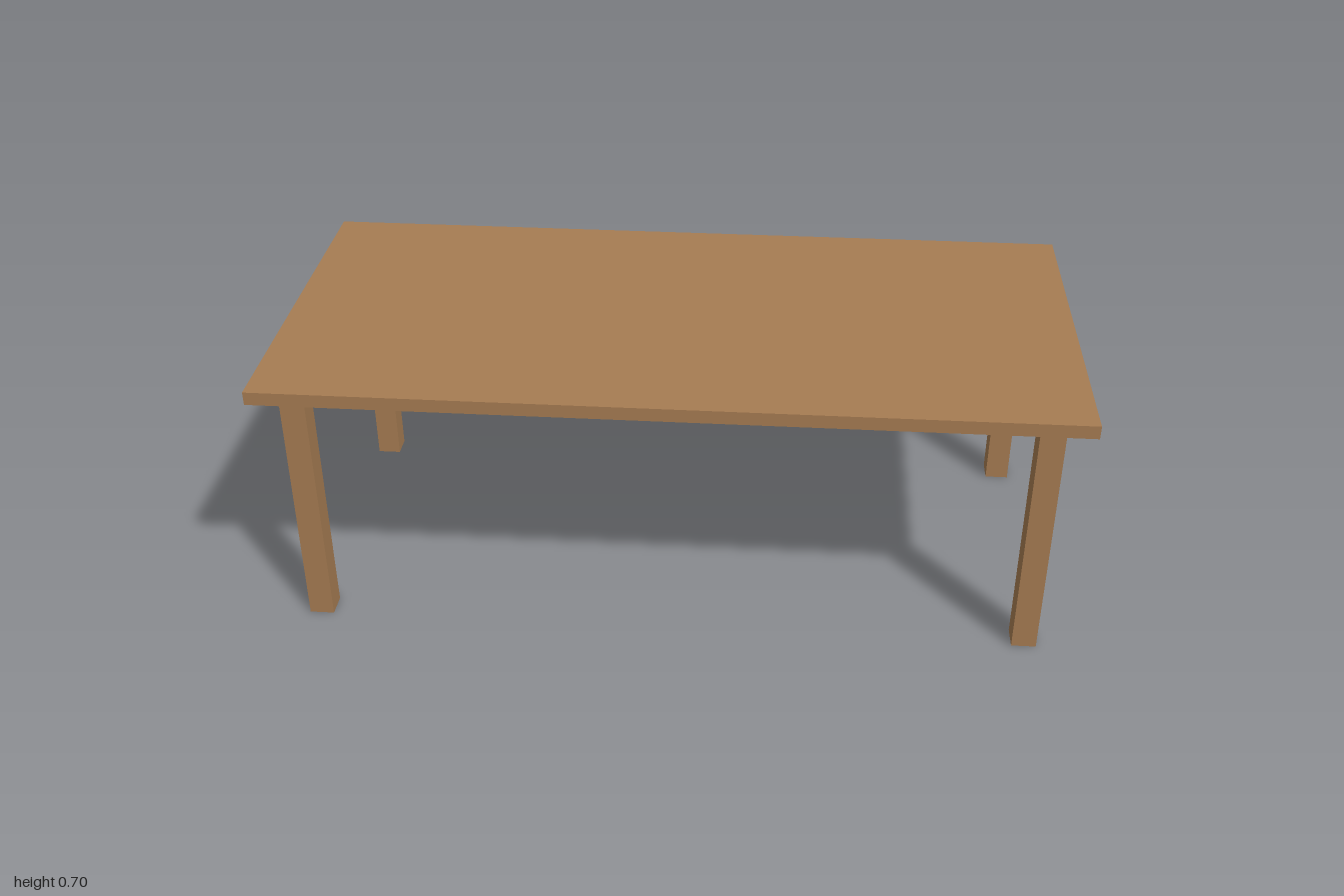
import * as THREE from 'three';

const LENGTH = 2, DEPTH = 0.956, HEIGHT = 0.7, THICKNESS = 0.034;
const LEG = 0.062, LEG_X = 0.907, LEG_Z = 0.387;

export function createModel() {
  const table = new THREE.Group();
  table.name = 'table';
  const wood = new THREE.MeshStandardMaterial({ color: 0xa67c52 });

  const addBox = (name, size, position) => {
    const mesh = new THREE.Mesh(new THREE.BoxGeometry(...size), wood);
    mesh.name = name;
    mesh.position.set(...position);
    table.add(mesh);
  };

  // Flat slab top
  addBox('tableTop', [LENGTH, THICKNESS, DEPTH], [0, HEIGHT - THICKNESS / 2, 0]);

  // Four square legs, set in from the corners
  const legHeight = HEIGHT - THICKNESS;
  for (const [end, sz] of [['front', 1], ['back', -1]]) {
    for (const [side, sx] of [['Left', 1], ['Right', -1]]) {
      addBox(`${end}${side}Leg`, [LEG, legHeight, LEG], [sx * LEG_X, legHeight / 2, sz * LEG_Z]);
    }
  }
  return table;
}
